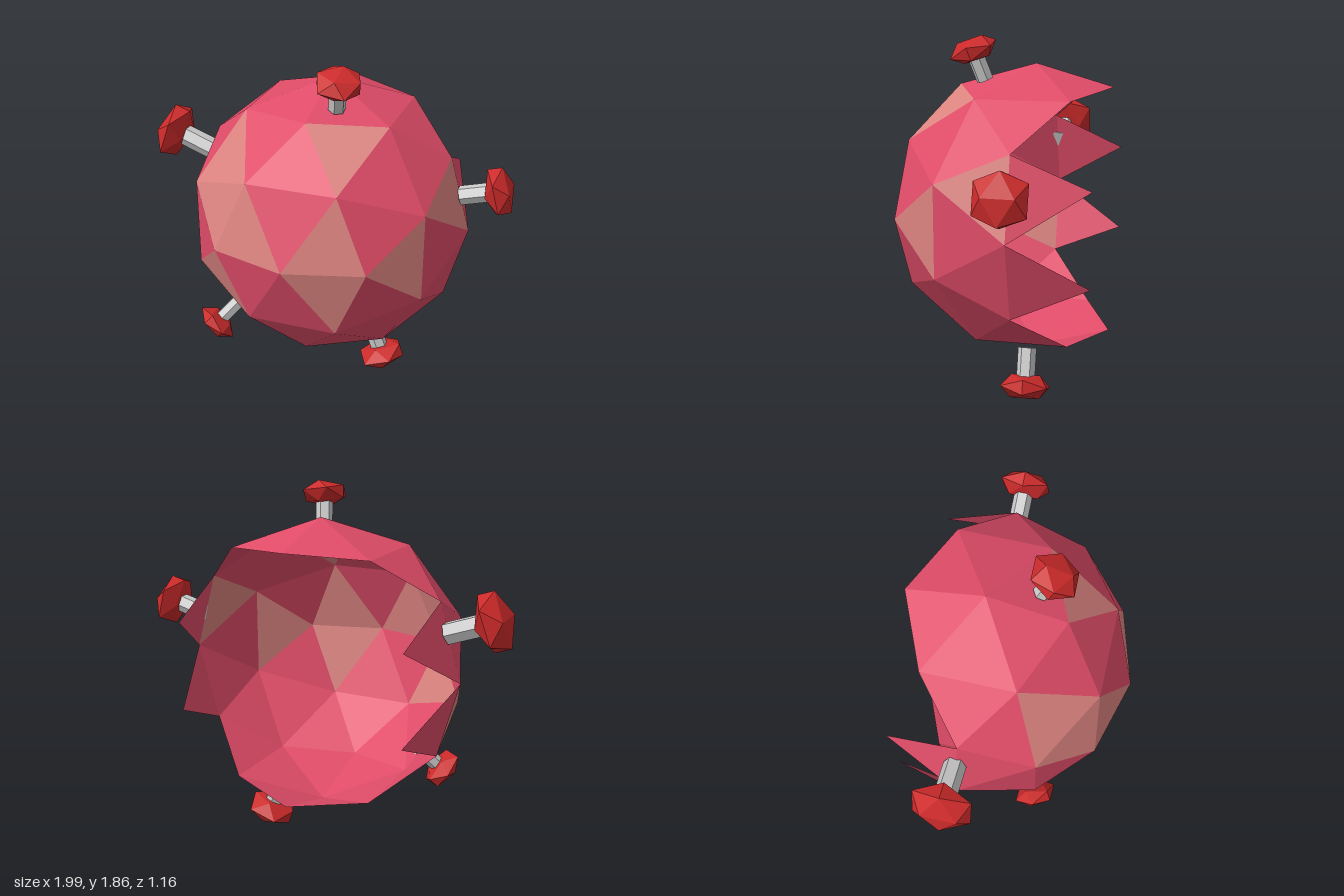
import * as THREE from 'three';

const CENTER = new THREE.Vector3(0.02, 0.963, -0.183);
const RADIUS = 0.76;

function material(name, color, options = {}) {
  const m = new THREE.MeshStandardMaterial({ color, flatShading: true, ...options });
  m.name = name;
  return m;
}

// Directions of the paler facets of the shell
const PALE_FACETS = [
  [-0.54, 0.54, 0.54], [-0.55, 0.27, 0.72], [-0.28, 0.17, 0.89],
  [0.28, 0.17, 0.89], [0.28, -0.17, 0.89], [0.27, 0.72, 0.55],
  [0.89, 0.28, 0.17], [0.72, 0, 0.55], [-0.55, -0.27, 0.72],
  [-0.89, -0.28, 0.17],
].map((d) => new THREE.Vector3(...d));

// Faceted ball with a jagged opening at the back, split by facet colour
function createShell(pink, salmon) {
  const ball = new THREE.IcosahedronGeometry(1, 1);
  ball.rotateZ(Math.PI / 2);
  const pos = ball.getAttribute('position');
  const facets = { main: [], pale: [] };
  for (let i = 0; i < pos.count; i += 3) {
    const tri = [0, 1, 2].map((k) => new THREE.Vector3().fromBufferAttribute(pos, i + k));
    const mid = new THREE.Vector3().add(tri[0]).add(tri[1]).add(tri[2]).divideScalar(3);
    // Leave the back open, keeping the pointed teeth round the rim
    if (mid.z < -0.2 && Math.abs(mid.y) < 0.8) continue;
    const pale = PALE_FACETS.some((d) => d.distanceTo(mid) < 0.12);
    for (const v of tri) facets[pale ? 'pale' : 'main'].push(...v.toArray());
  }
  const shell = new THREE.Group();
  shell.name = 'shell';
  for (const [name, list, mat] of [['mainFacets', facets.main, pink], ['paleFacets', facets.pale, salmon]]) {
    const g = new THREE.BufferGeometry();
    g.setAttribute('position', new THREE.Float32BufferAttribute(list, 3));
    g.scale(RADIUS, RADIUS, RADIUS);
    g.computeVertexNormals();
    const mesh = new THREE.Mesh(g, mat);
    mesh.name = name;
    shell.add(mesh);
  }
  shell.position.copy(CENTER);
  return shell;
}

// Stud: six-sided stalk with a squashed faceted head, pointing out of the ball
function createStud({ name, axis, distance, size }, grey, red) {
  const stud = new THREE.Group();
  stud.name = name;
  const start = 0.73;
  const length = distance - start;
  const stalk = new THREE.Mesh(new THREE.CylinderGeometry(size * 0.34, size * 0.34, length, 6), grey);
  stalk.name = 'stalk';
  stalk.position.y = start + length / 2;
  const headShape = new THREE.IcosahedronGeometry(size, 0);
  headShape.rotateY(Math.PI / 2);
  headShape.scale(1, 0.5, 1);
  const head = new THREE.Mesh(headShape, red);
  head.name = 'head';
  head.position.y = distance;
  stud.add(stalk, head);
  stud.position.copy(CENTER);
  const direction = new THREE.Vector3(...axis).normalize();
  stud.quaternion.setFromUnitVectors(new THREE.Vector3(0, 1, 0), direction);
  return stud;
}

export function createModel() {
  const pink = material('pink', 0xe04c68, { side: THREE.DoubleSide });
  const salmon = material('salmon', 0xdc8480, { side: THREE.DoubleSide });
  const grey = material('grey', 0xcccccc);
  const red = material('red', 0xcc2a2a);

  const model = new THREE.Group();
  model.name = 'spikedBall';
  model.add(createShell(pink, salmon));

  const studs = [
    { name: 'rightStud', axis: [-0.925, 0.335, -0.01], distance: 0.98, size: 0.17 },
    { name: 'leftStud', axis: [0.9, 0.245, -0.01], distance: 0.935, size: 0.148 },
    { name: 'topStud', axis: [0.135, 0.835, 0.3], distance: 0.895, size: 0.13 },
    { name: 'bottomStud', axis: [0.31, -0.875, -0.01], distance: 0.93, size: 0.142 },
    { name: 'lowerFrontStud', axis: [-0.54, -0.625, 0.37], distance: 0.905, size: 0.12 },
  ];
  for (const s of studs) model.add(createStud(s, grey, red));
  return model;
}
